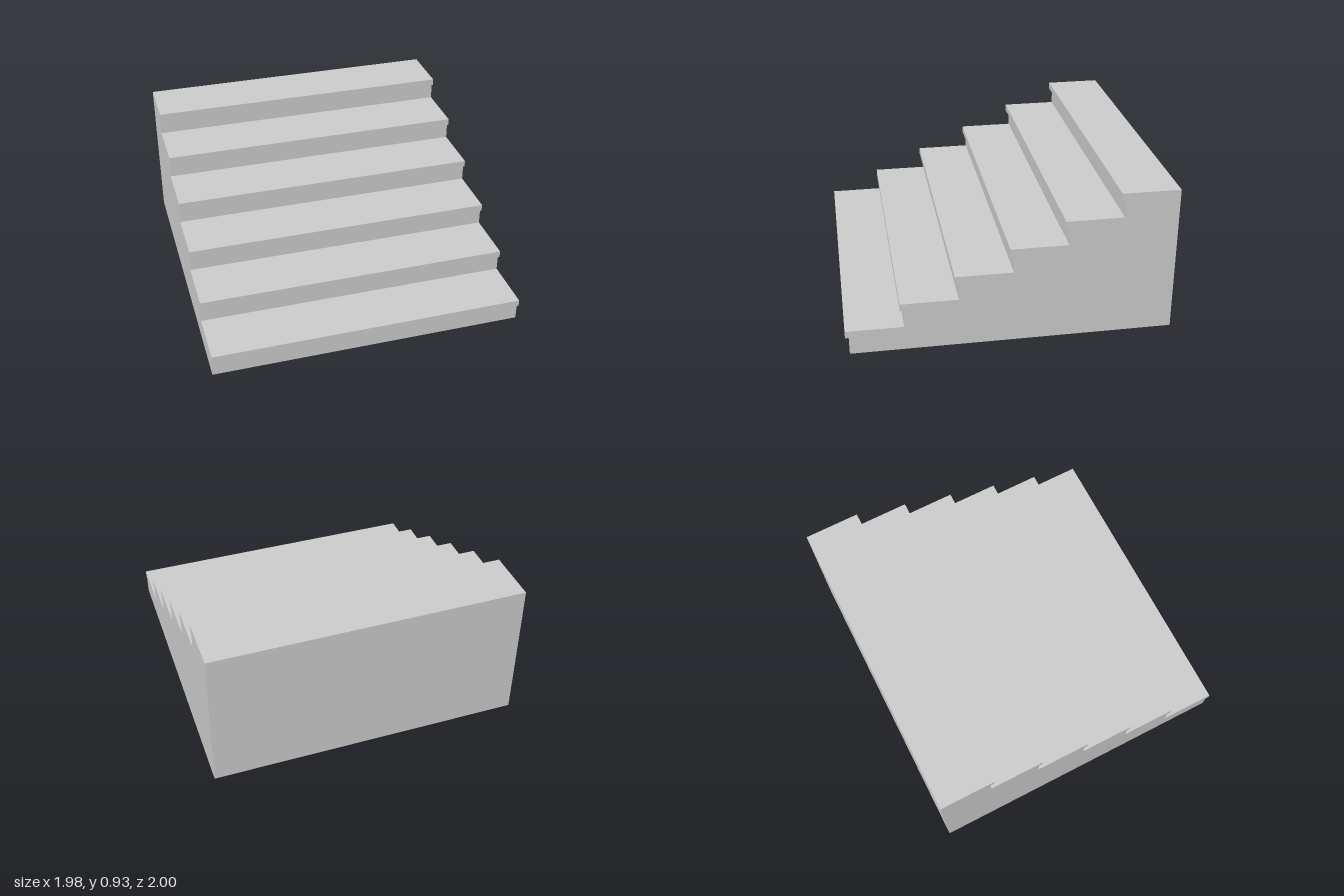
import * as THREE from 'three';

const STEPS = 6;
const WIDTH = 1.975;
const RISE = 0.928 / STEPS;
const RUN = 0.329;
const NOSE_DEPTH = 0.023;  // overhang of each tread
const NOSE_HEIGHT = 0.044; // thickness of each tread lip

export function createModel() {
  const group = new THREE.Group();
  group.name = 'staircase';

  // Side profile: shape x runs towards the front, shape y is up
  const profile = new THREE.Shape();
  profile.moveTo(-1, 0);
  for (let i = 0; i < STEPS; i++) {
    const nose = 1 - i * RUN;
    const riser = nose - NOSE_DEPTH;
    const top = (i + 1) * RISE;
    profile.lineTo(riser, i * RISE);
    profile.lineTo(riser, top - NOSE_HEIGHT);
    profile.lineTo(nose, top - NOSE_HEIGHT);
    profile.lineTo(nose, top);
  }
  profile.lineTo(-1, STEPS * RISE);
  profile.closePath();

  // Solid flight, extruded across the width and turned to face +z
  const geometry = new THREE.ExtrudeGeometry(profile, { depth: WIDTH, bevelEnabled: false });
  geometry.translate(0, 0, -WIDTH / 2);
  geometry.rotateY(-Math.PI / 2);

  const steps = new THREE.Mesh(geometry, new THREE.MeshStandardMaterial({ color: 0xcccccc }));
  steps.name = 'steps';
  group.add(steps);
  return group;
}
